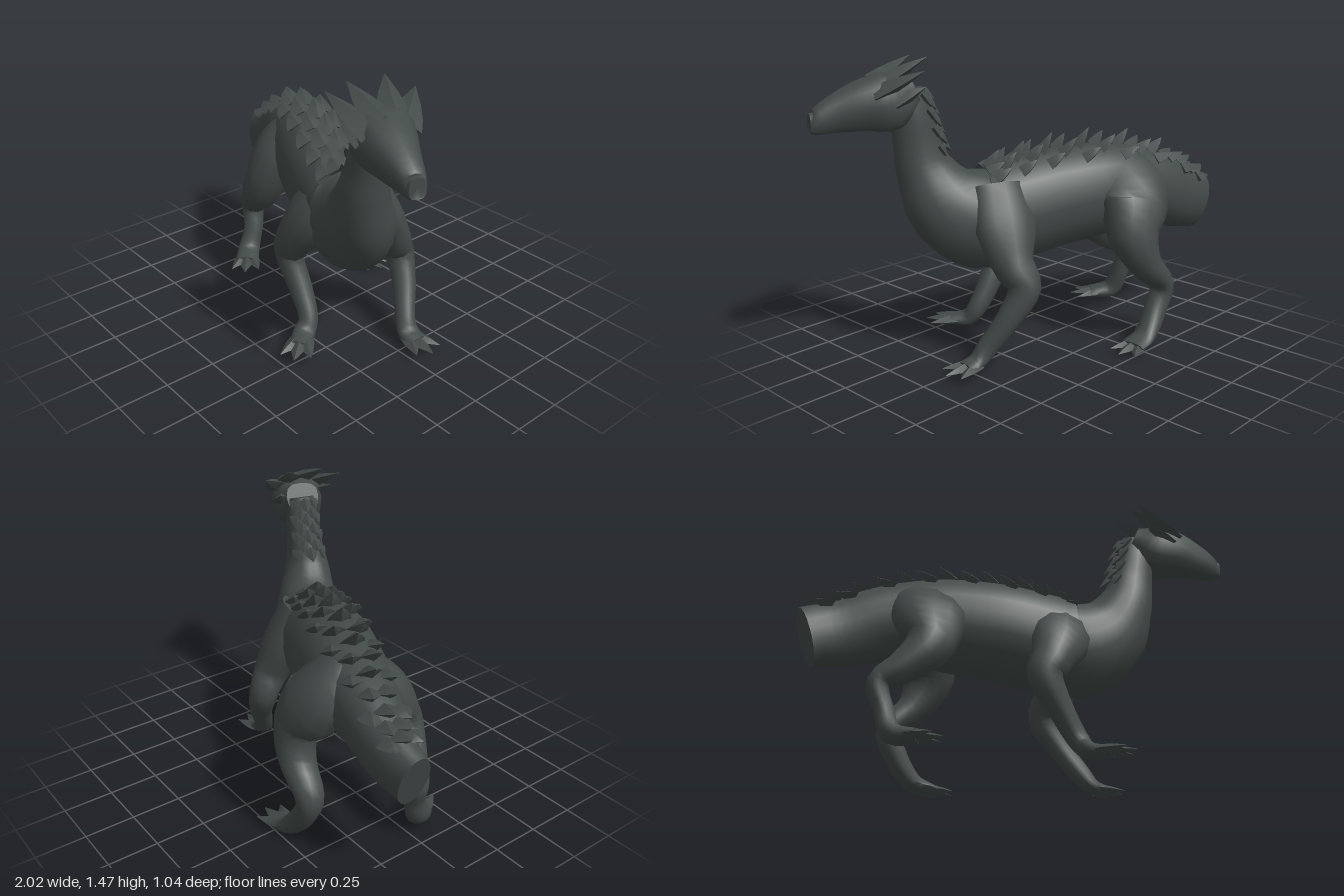
import * as THREE from 'three';
import { mergeGeometries, toCreasedNormals } from 'three/addons/utils/BufferGeometryUtils.js';

const V = (x, y, z) => new THREE.Vector3(x, y, z);
const SIDE = V(0.35, 0, -0.94); // sideways axis of the animal
const power = (v, e) => Math.sign(v) * Math.abs(v) ** e;

// Tube through sections [x, y, z, halfWidth, halfHeight]; box < 1 squares the sections
function tube(sections, side = SIDE, box = 1) {
  const path = new THREE.CatmullRomCurve3(sections.map(s => V(s[0], s[1], s[2])), false, 'catmullrom');
  const size = new THREE.CatmullRomCurve3(sections.map(s => V(s[3], s[4], 0)), false, 'catmullrom');
  return (t, ang) => {
    const c = path.getPoint(t), r = size.getPoint(t), T = path.getTangent(t);
    const n = side.clone().addScaledVector(T, -side.dot(T)).normalize();
    const u = T.clone().cross(n);
    const cos = power(Math.cos(ang), box), sin = power(Math.sin(ang), box);
    const p = c.clone().addScaledVector(n, r.x * cos).addScaledVector(u, r.y * sin);
    const out = n.clone().multiplyScalar(cos).addScaledVector(u, sin);
    return { c, p, out, T, n };
  };
}

// Closed skin over a tube, with creases kept sharp
function skin(sections, steps, sides, side, box) {
  const at = tube(sections, side, box);
  const pos = [], idx = [];
  for (let i = 0; i <= steps; i++)
    for (let j = 0; j < sides; j++) pos.push(...at(i / steps, j / sides * Math.PI * 2).p.toArray());
  for (let i = 0; i < steps; i++)
    for (let j = 0; j < sides; j++) {
      const k = (j + 1) % sides, a = i * sides + j, b = i * sides + k;
      idx.push(a, b, a + sides, b, b + sides, a + sides);
    }
  const first = pos.length / 3, last = steps * sides;
  pos.push(...at(0, 0).c.toArray(), ...at(1, 0).c.toArray());
  for (let j = 0; j < sides; j++) {
    const k = (j + 1) % sides;
    idx.push(first, k, j, first + 1, last + j, last + k);
  }
  const g = new THREE.BufferGeometry();
  g.setAttribute('position', new THREE.Float32BufferAttribute(pos, 3));
  g.setIndex(idx);
  return toCreasedNormals(g, 0.9);
}

// Pointed blade from base to tip
function spike(base, tip, w, h, side) {
  const m = base.clone().lerp(tip, 0.45);
  return skin([[...base.toArray(), w, h], [...m.toArray(), w * 0.75, h * 0.75], [...tip.toArray(), 0.002, 0.002]], 3, 4, side);
}

export function createModel() {
  const group = new THREE.Group();
  const hide = new THREE.MeshStandardMaterial({ color: 0x434b49 });
  hide.name = 'dark slate hide';
  const add = (name, geo) => {
    const m = new THREE.Mesh(geo, hide);
    m.name = name;
    group.add(m);
  };

  // Tail stump, trunk and neck
  const trunk = [
    [-0.975, 0.608, -0.285, 0.08, 0.148],
    [-0.8, 0.665, -0.275, 0.115, 0.168],
    [-0.6, 0.742, -0.225, 0.155, 0.195],
    [-0.35, 0.765, -0.14, 0.195, 0.235],
    [-0.1, 0.745, -0.03, 0.21, 0.25],
    [0.1, 0.71, 0.05, 0.205, 0.255],
    [0.28, 0.69, 0.12, 0.2, 0.25],
    [0.42, 0.78, 0.19, 0.16, 0.205],
    [0.495, 0.93, 0.245, 0.12, 0.14],
    [0.53, 1.07, 0.255, 0.093, 0.115],
    [0.555, 1.2, 0.26, 0.085, 0.1],
    [0.58, 1.31, 0.265, 0.07, 0.085],
  ];
  add('trunk', skin(trunk, 44, 18));

  // Wedge-shaped, squarish head
  add('head', skin([
    [0.55, 1.32, 0.26, 0.085, 0.07],
    [0.65, 1.275, 0.3, 0.13, 0.135],
    [0.75, 1.26, 0.345, 0.118, 0.12],
    [0.87, 1.23, 0.39, 0.08, 0.088],
    [0.96, 1.2, 0.417, 0.052, 0.058],
    [0.99, 1.2, 0.428, 0.036, 0.043],
  ], 16, 12, V(0.42, 0, -0.9), 0.75));

  // Swept-back crest: base point, tip point, half-width
  const crest = [
    [[0.74, 1.32, 0.26], [0.62, 1.42, 0.08], 0.075],
    [[0.72, 1.35, 0.29], [0.53, 1.47, 0.17], 0.075],
    [[0.72, 1.355, 0.35], [0.49, 1.465, 0.34], 0.075],
    [[0.72, 1.32, 0.4], [0.46, 1.435, 0.43], 0.07],
    [[0.68, 1.27, 0.22], [0.57, 1.34, 0.14], 0.065],
    [[0.68, 1.28, 0.4], [0.52, 1.36, 0.42], 0.065],
  ];
  add('headCrest', mergeGeometries(crest.map(([b, t, w]) => spike(V(...b), V(...t), w, 0.04))));

  // Overlapping scales down the back and the nape
  const back = tube(trunk), scales = [];
  const scaleRow = (t, offsets, len, lift, width) => offsets.forEach(o => {
    const s = back(t, Math.PI / 2 + o), k = 1 - 0.9 * Math.abs(o);
    const base = s.p.clone().addScaledVector(s.out, -0.015);
    const tip = base.clone().addScaledVector(s.T, -len).addScaledVector(s.out, 0.02 + lift * k);
    scales.push(spike(base, tip, width, 0.032, s.n));
  });
  for (let i = 0; i < 17; i++) {
    const t = 0.07 + i * 0.031, mid = Math.sin(Math.PI * (i + 1) / 19);
    scaleRow(t, i % 2 ? [-0.27, 0.27] : [-0.55, 0, 0.55], 0.075, 0.025 + 0.045 * mid, 0.06);
  }
  for (let i = 0; i < 7; i++)
    scaleRow(0.8 + i * 0.03, i % 2 ? [-0.35, 0.35] : [-0.7, 0, 0.7], 0.05, 0.03, 0.038);
  add('backScales', mergeGeometries(scales));

  // Legs: sections from hip or shoulder to foot, then toe heading [x, z]
  const legs = {
    hindLegNear: [[
      [-0.4, 0.9, -0.14, 0.07, 0.16], [-0.47, 0.74, -0.03, 0.115, 0.185], [-0.5, 0.56, 0.055, 0.105, 0.12],
      [-0.61, 0.43, 0.03, 0.08, 0.08], [-0.71, 0.345, -0.02, 0.065, 0.055], [-0.685, 0.22, 0, 0.055, 0.045],
      [-0.665, 0.1, 0.05, 0.06, 0.047], [-0.58, 0.08, 0.13, 0.065, 0.026]], [0.75, 0.66]],
    hindLegFar: [[
      [-0.37, 0.9, -0.21, 0.07, 0.16], [-0.36, 0.74, -0.32, 0.13, 0.195], [-0.29, 0.58, -0.385, 0.11, 0.135],
      [-0.34, 0.43, -0.42, 0.09, 0.085], [-0.46, 0.3, -0.44, 0.07, 0.06], [-0.42, 0.18, -0.44, 0.06, 0.058],
      [-0.32, 0.06, -0.45, 0.067, 0.045], [-0.21, 0.032, -0.45, 0.072, 0.025]], [1, -0.05]],
    foreLegNear: [[
      [0.18, 0.86, 0.12, 0.07, 0.14], [0.11, 0.68, 0.215, 0.1, 0.155], [0.03, 0.53, 0.26, 0.09, 0.105],
      [-0.015, 0.43, 0.265, 0.07, 0.085], [0.07, 0.28, 0.265, 0.06, 0.06], [0.15, 0.15, 0.28, 0.05, 0.05],
      [0.18, 0.09, 0.33, 0.055, 0.037], [0.24, 0.082, 0.41, 0.055, 0.024]], [0.62, 0.78]],
    foreLegFar: [[
      [0.25, 0.86, 0.01, 0.08, 0.14], [0.28, 0.68, -0.065, 0.095, 0.155], [0.3, 0.52, -0.13, 0.09, 0.105],
      [0.285, 0.41, -0.195, 0.075, 0.08], [0.36, 0.27, -0.165, 0.06, 0.06], [0.44, 0.13, -0.1, 0.05, 0.05],
      [0.49, 0.07, -0.08, 0.055, 0.037], [0.56, 0.057, -0.075, 0.055, 0.024]], [1, 0.1]],
  };
  for (const [name, [sections, [dx, dz]]] of Object.entries(legs)) {
    add(name, skin(sections, 28, 12));
    // Three splayed, clawed toes
    const [x, y, z] = sections[sections.length - 1];
    const heading = Math.atan2(dz, dx);
    const toes = [-1, 0, 1].map(k => {
      const a = heading + k * 0.42, dir = V(Math.cos(a), 0, Math.sin(a));
      const across = V(Math.sin(a), 0, -Math.cos(a));
      const base = V(x, y, z).addScaledVector(across, -k * 0.035).addScaledVector(dir, -0.04);
      const tip = base.clone().addScaledVector(dir, k ? 0.14 : 0.15);
      tip.y -= 0.006;
      return spike(base, tip, 0.045, 0.028, across);
    });
    add(name + 'Toes', mergeGeometries(toes));
  }
  return group;
}
